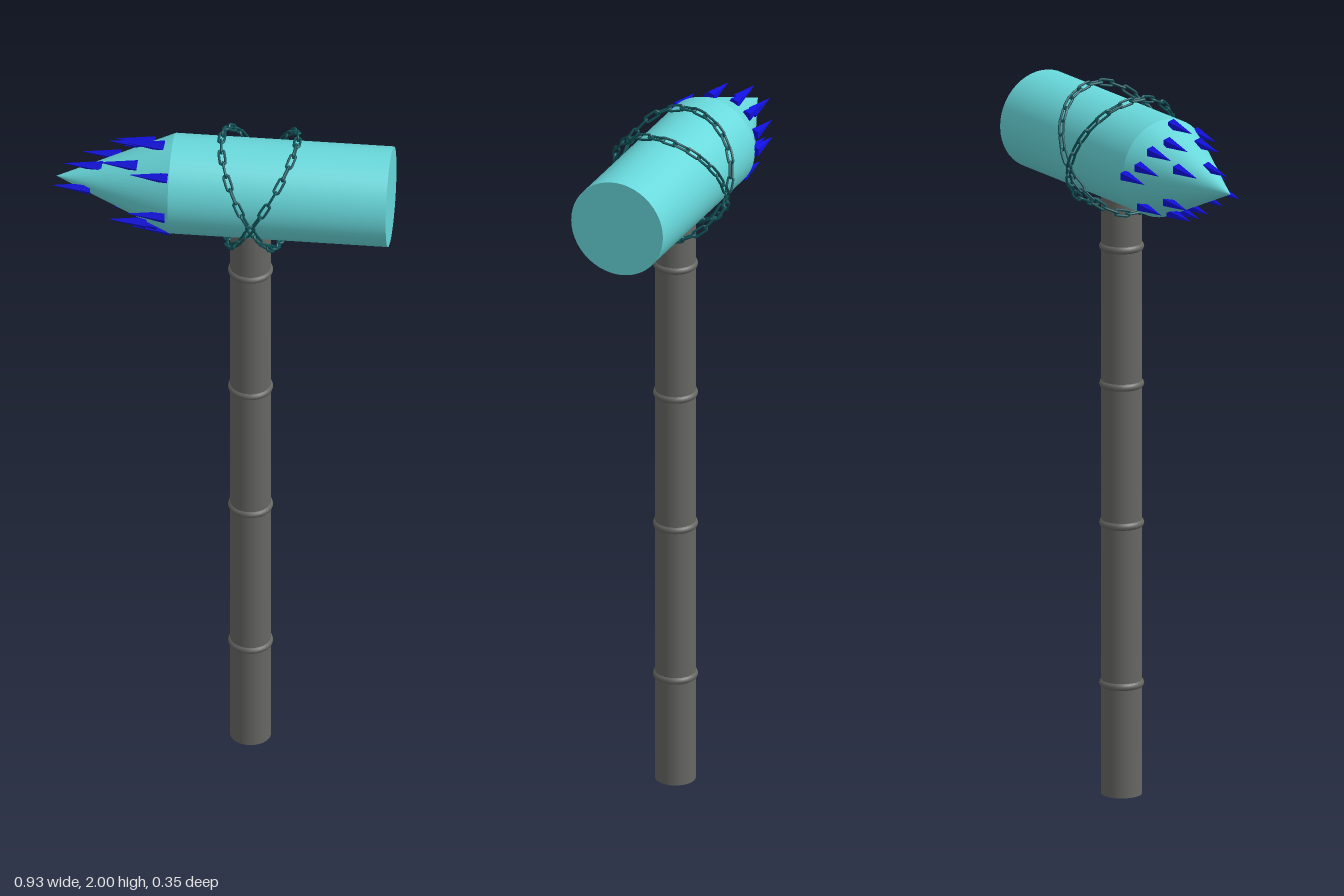
import * as THREE from 'three';

const HEAD_Y = 1.825;
const HEAD_R = 0.138;
const HANDLE_X = 0.072;

const material = (color, flatShading = false) => new THREE.MeshStandardMaterial({ color, flatShading });

function addMesh(parent, name, geometry, mat, x = 0, y = 0, z = 0) {
  const mesh = new THREE.Mesh(geometry, mat);
  mesh.name = name;
  mesh.position.set(x, y, z);
  parent.add(mesh);
  return mesh;
}

// Oval chain link: a torus whose two halves are pulled apart along x
function linkGeometry() {
  const geometry = new THREE.TorusGeometry(0.008, 0.0035, 8, 24);
  const p = geometry.attributes.position;
  for (let i = 0; i < p.count; i++) {
    const x = p.getX(i);
    if (Math.abs(x) > 1e-5) p.setX(i, x + Math.sign(x) * 0.0145);
  }
  geometry.computeVertexNormals();
  return geometry;
}

// Tilted loop of links, alternately turned a quarter about the chain
function makeChain(name, centerX, lean, geometry, mat) {
  const chain = new THREE.Group();
  chain.name = name;
  const count = 28;
  const radius = 0.162;
  for (let i = 0; i < count; i++) {
    const a = (i / count) * Math.PI * 2;
    const c = Math.cos(a), s = Math.sin(a);
    const link = addMesh(chain, 'chainLink', geometry, mat,
      centerX + lean * c, HEAD_Y + radius * c, radius * s);
    const along = new THREE.Vector3(-lean * s, -radius * s, radius * c).normalize();
    const out = new THREE.Vector3(0, c, s);
    const side = new THREE.Vector3().crossVectors(out, along).normalize();
    out.crossVectors(along, side);
    link.quaternion.setFromRotationMatrix(new THREE.Matrix4().makeBasis(along, side, out));
    if (i % 2) link.rotateX(Math.PI / 2);
  }
  return chain;
}

export function createModel() {
  const model = new THREE.Group();
  model.name = 'spikedHammer';
  const handleMat = material(0x666663);
  const headMat = material(0x68d8db);
  const chainMat = material(0x0f5258);
  const spikeMat = material(0x1010e0, true);

  // Handle with slim raised bands
  addMesh(model, 'handle', new THREE.CylinderGeometry(0.056, 0.056, 1.71, 32), handleMat, HANDLE_X, 0.855, 0.002);
  for (const y of [0.315, 0.77, 1.165, 1.555]) {
    const band = addMesh(model, 'handleBand', new THREE.TorusGeometry(0.05, 0.012, 10, 32), handleMat, HANDLE_X, y, 0.002);
    band.rotation.x = Math.PI / 2;
  }

  // Head: a cylinder with a flat striking face and a pointed end
  const head = new THREE.Group();
  head.name = 'head';
  head.position.y = HEAD_Y;
  model.add(head);
  const barrel = addMesh(head, 'barrel', new THREE.CylinderGeometry(HEAD_R, HEAD_R, 0.6, 48), headMat, 0.158);
  const point = addMesh(head, 'point', new THREE.ConeGeometry(HEAD_R, 0.32, 48, 1, true), headMat, -0.302);
  barrel.rotation.z = point.rotation.z = Math.PI / 2;

  // Spikes: base x, and the offset (y, z) from the head's axis
  const spikes = [
    [-0.145, 0, -0.135], [-0.185, 0.03, -0.115], [-0.2, 0.073, -0.085], [-0.29, 0.04, -0.06],
    [-0.215, 0.095, -0.04], [-0.165, 0.127, 0.008], [-0.335, 0.045, 0.008], [-0.235, 0.084, 0.048],
    [-0.145, 0.085, 0.1], [-0.15, -0.025, 0.128], [-0.365, -0.015, 0.03], [-0.205, -0.08, 0.082],
    [-0.145, -0.125, 0.045], [-0.18, -0.105, 0.05], [-0.16, -0.09, -0.09], [-0.25, -0.06, -0.065],
    [-0.2, -0.11, -0.02],
  ];
  const spikeGeometry = new THREE.ConeGeometry(0.017, 0.108, 5);
  for (const [x, y, z] of spikes) {
    const spike = addMesh(head, 'spike', spikeGeometry, spikeMat, x - 0.054, y, z - 0.003);
    spike.rotation.set(0, -0.06, Math.PI / 2);
  }

  // Two chains crossed around the head
  const link = linkGeometry();
  model.add(makeChain('chainA', 0.074, -0.081, link, chainMat));
  model.add(makeChain('chainB', 0.105, 0.095, link, chainMat));
  return model;
}
